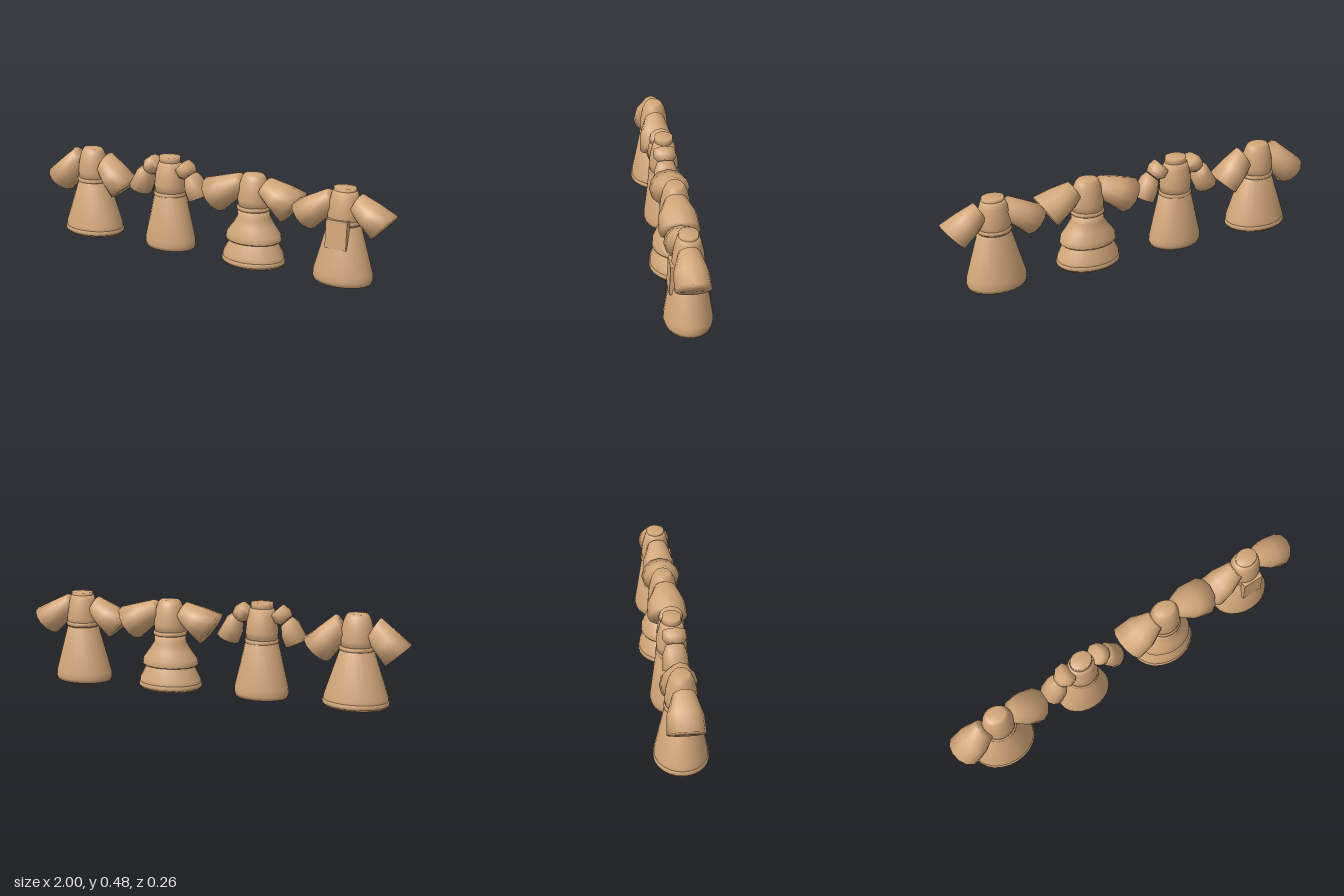
import * as THREE from 'three';

const cloth = new THREE.MeshStandardMaterial({ color: 0xd2a679, side: THREE.DoubleSide });
cloth.name = 'tan cloth';

// Joins rings of points (ordered from bottom to top) and closes both ends.
function loft(name, rings) {
  const n = rings[0].length, pos = [], index = [];
  rings.forEach(r => r.forEach(p => pos.push(p.x, p.y, p.z)));
  for (let i = 0; i < rings.length - 1; i++) {
    for (let j = 0; j < n; j++) {
      const a = i * n + j, b = i * n + (j + 1) % n;
      index.push(a, b, a + n, b, b + n, a + n);
    }
  }
  [0, rings.length - 1].forEach((i, end) => {
    const c = new THREE.Vector3();
    rings[i].forEach(p => c.addScaledVector(p, 1 / n));
    const ci = pos.length / 3;
    pos.push(c.x, c.y, c.z);
    for (let j = 0; j < n; j++) {
      const a = i * n + j, b = i * n + (j + 1) % n;
      if (end) index.push(ci, a, b); else index.push(ci, b, a);
    }
  });
  const g = new THREE.BufferGeometry();
  g.setAttribute('position', new THREE.Float32BufferAttribute(pos, 3));
  g.setIndex(index);
  g.computeVertexNormals();
  const mesh = new THREE.Mesh(g, cloth);
  mesh.name = name;
  return mesh;
}

// Upright part from [y, half width, half depth] sections.
function upright(name, sections, sides = 24) {
  return loft(name, sections.map(([y, rx, rz]) => Array.from({ length: sides }, (_, j) => {
    const t = j / sides * Math.PI * 2;
    return new THREE.Vector3(Math.cos(t) * rx, y, -Math.sin(t) * rz);
  })));
}

// Sleeve part from [outer x, outer y, inner x, inner y, half depth] sections, cuff first.
function sleeve(name, side, sections, sides = 12) {
  return loft((side > 0 ? 'left ' : 'right ') + name,
    sections.map(([ox, oy, ix, iy, d]) => Array.from({ length: sides }, (_, j) => {
      const t = j / sides * Math.PI * 2, u = Math.cos(t) / 2;
      return new THREE.Vector3(side * ((ox + ix) / 2 + (ox - ix) * u),
        (oy + iy) / 2 + (oy - iy) * u, 0.005 - side * Math.sin(t) * d);
    })));
}

// Full sleeve: straight silhouette from cuff to shoulder, deepest near the cuff.
function fullSleeve(side, cuff, shoulder) {
  const middle = cuff.map((v, i) => (v + shoulder[i]) / 2);
  middle[4] = cuff[4] * 0.94;
  return sleeve('sleeve', side, [cuff, middle, shoulder]);
}

// Short puff at the shoulder with a flared lower sleeve.
function puffSleeve(side) {
  const puff = [[0.155, 0.42, 0.1, 0.37, 0.04], [0.14, 0.45, 0.07, 0.378, 0.06],
    [0.105, 0.472, 0.055, 0.405, 0.058], [0.075, 0.445, 0.045, 0.41, 0.035]];
  const lower = [[0.235, 0.31, 0.125, 0.26, 0.065], [0.185, 0.395, 0.105, 0.31, 0.06],
    [0.155, 0.415, 0.1, 0.365, 0.045]];
  return [sleeve('shoulderPuff', side, puff), sleeve('lowerSleeve', side, lower)];
}

// Cone from a rounded hem to the waist.
function skirt(width, depth, top = 0.285) {
  return upright('skirt', [[0, width * 0.96, depth * 0.96], [0.02, width, depth],
    [0.05, width * 0.985, depth * 0.99], [top, 0.082, 0.076]]);
}

// Raised band with bevelled edges.
function band(name, y, width, depth, half) {
  return upright(name, [[y - half, width - 0.006, depth - 0.005], [y - half * 0.55, width, depth],
    [y + half * 0.55, width, depth], [y + half, width - 0.006, depth - 0.005]]);
}

// Fitted body, ending in a rounded neck or in a raised collar.
function bodice(collarTop) {
  const body = [[0.28, 0.08, 0.073], [0.33, 0.083, 0.076], [0.38, 0.078, 0.07], [0.42, 0.07, 0.06]];
  if (!collarTop) return [upright('bodice', [...body, [0.445, 0.06, 0.048], [0.457, 0.05, 0.038]])];
  return [upright('bodice', [...body, [0.45, 0.06, 0.05]]),
    upright('collar', [[0.435, 0.06, 0.05], [collarTop - 0.013, 0.056, 0.046], [collarTop, 0.056, 0.046]])];
}

// Flared tier over the lower skirt.
function upperTier() {
  return upright('upperTier', [[0.12, 0.14, 0.111], [0.127, 0.147, 0.114], [0.155, 0.142, 0.112],
    [0.2, 0.108, 0.094], [0.24, 0.083, 0.079], [0.285, 0.08, 0.075]]);
}

// Panel hanging over the front of the waist.
function frontPanel() {
  const panel = new THREE.Mesh(new THREE.BoxGeometry(0.11, 0.14, 0.03), cloth);
  panel.name = 'frontPanel';
  panel.position.set(0, 0.25, 0.075);
  panel.rotation.x = -0.05;
  return panel;
}

function gown(name, x, parts) {
  const group = new THREE.Group();
  group.name = name;
  group.position.x = x;
  group.add(...parts);
  return group;
}

export function createModel() {
  const sides = [-1, 1];
  const model = new THREE.Group();
  model.name = 'gowns';
  model.add(gown('plainGown', -0.735, [
    skirt(0.163, 0.126), band('hemBand', 0.02, 0.167, 0.13, 0.013),
    band('waistband', 0.288, 0.089, 0.08, 0.011), ...bodice(),
    ...sides.map(s => fullSleeve(s, [0.265, 0.32, 0.14, 0.21, 0.09], [0.112, 0.445, 0.045, 0.33, 0.055])),
  ]));
  model.add(gown('puffSleeveGown', -0.25, [
    skirt(0.14, 0.106), band('waistband', 0.285, 0.086, 0.079, 0.011), ...bodice(0.478),
    ...sides.flatMap(puffSleeve),
  ]));
  model.add(gown('tieredGown', 0.243, [
    skirt(0.163, 0.126, 0.2), band('hemBand', 0.02, 0.167, 0.13, 0.013), upperTier(),
    band('waistband', 0.287, 0.087, 0.08, 0.011), ...bodice(),
    ...sides.map(s => fullSleeve(s, [0.273, 0.4, 0.17, 0.243, 0.1], [0.09, 0.45, 0.04, 0.36, 0.055])),
  ]));
  model.add(gown('panelGown', 0.735, [
    skirt(0.152, 0.115), band('waistband', 0.3, 0.087, 0.08, 0.011), ...bodice(0.465), frontPanel(),
    ...sides.map(s => fullSleeve(s, [0.265, 0.36, 0.155, 0.236, 0.085], [0.09, 0.445, 0.04, 0.35, 0.052])),
  ]));
  return model;
}
